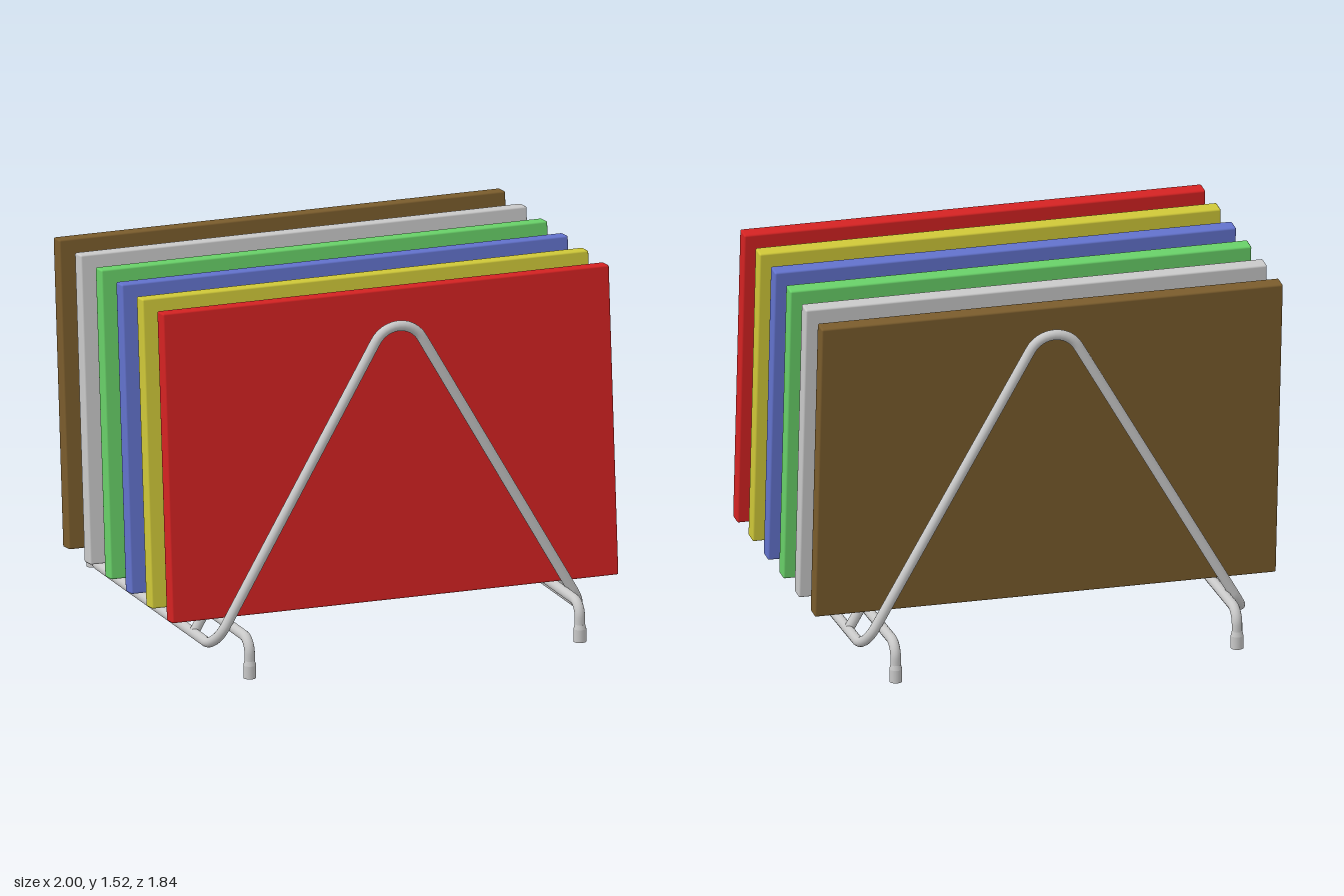
import * as THREE from 'three';
import { RoundedBoxGeometry } from 'three/addons/geometries/RoundedBoxGeometry.js';

const WIRE = 0.022;
const v = (x, y, z) => new THREE.Vector3(x, y, z);

function material(name, color) {
  const m = new THREE.MeshStandardMaterial({ color });
  m.name = name;
  return m;
}

// Path through corner points [point, bend radius]; each corner becomes a round bend
function bentPath(corners) {
  const path = new THREE.CurvePath();
  let from = corners[0][0];
  for (let i = 1; i < corners.length - 1; i++) {
    const [p, r] = corners[i];
    const a = corners[i - 1][0].clone().sub(p).normalize();
    const b = corners[i + 1][0].clone().sub(p).normalize();
    const turn = Math.PI - a.angleTo(b);
    const reach = r * Math.tan(turn / 2);
    const handle = reach - (4 / 3) * Math.tan(turn / 4) * r;
    const at = (dir, d) => p.clone().addScaledVector(dir, d);
    path.add(new THREE.LineCurve3(from, at(a, reach)));
    path.add(new THREE.CubicBezierCurve3(at(a, reach), at(a, handle), at(b, handle), at(b, reach)));
    from = at(b, reach);
  }
  path.add(new THREE.LineCurve3(from, corners[corners.length - 1][0]));
  return path;
}

export function createModel() {
  const model = new THREE.Group();
  model.name = 'boardRack';
  const steel = material('steel', 0xc8c8c8);

  function add(name, geometry, mat, parent = model) {
    const mesh = new THREE.Mesh(geometry, mat);
    mesh.name = name;
    parent.add(mesh);
    return mesh;
  }
  const wire = (name, corners, segments, closed = false) =>
    add(name, new THREE.TubeGeometry(bentPath(corners), segments, WIRE, 14, closed), steel);

  // Main frame: two end arches joined by the low side rails in one closed loop
  const footX = 0.826, railY = 0.09, peakY = 1.52, endZ = 0.71;
  const peakBend = 0.12, lowBend = 0.1;
  wire('mainFrame', [
    [v(footX, railY, 0), 0],
    [v(footX, railY, endZ), lowBend],
    [v(0, peakY, endZ), peakBend],
    [v(-footX, railY, endZ), lowBend],
    [v(-footX, railY, -endZ), lowBend],
    [v(0, peakY, -endZ), peakBend],
    [v(footX, railY, -endZ), lowBend],
    [v(footX, railY, 0), 0],
  ], 420, true);

  // Divider arches between the boards
  for (let i = -2; i <= 2; i++) {
    const z = i * 0.237;
    wire('dividerArch', [
      [v(-footX, railY, z), 0],
      [v(0, peakY, z), peakBend],
      [v(footX, railY, z), 0],
    ], 120);
  }

  // Foot rails with a wider cap at each end
  const capProfile = [[0, 0], [0.027, 0], [0.027, 0.055], [0.022, 0.075], [0, 0.075]]
    .map(([x, y]) => new THREE.Vector2(x, y));
  // Separate sections keep the cap edges crisp
  const capSections = capProfile.slice(1).map((p, i) => new THREE.LatheGeometry([capProfile[i], p], 18));
  const legX = 0.74, legZ = 0.894, legY = 0.167;
  for (const x of [-legX, legX]) {
    wire('footRail', [
      [v(x, 0.03, legZ), 0],
      [v(x, legY, legZ), 0.065],
      [v(x, legY, -legZ), 0.065],
      [v(x, 0.03, -legZ), 0],
    ], 160);
    for (const z of [-legZ, legZ]) {
      const cap = new THREE.Group();
      cap.name = 'footCap';
      cap.position.set(x, 0, z);
      capSections.forEach((g) => add('footCapSection', g, steel, cap));
      model.add(cap);
    }
  }

  // Six boards leaning slightly backwards
  const boardGeometry = new RoundedBoxGeometry(2, 1.32, 0.07, 2, 0.008);
  const boards = [
    ['red', 0xd42222, 0.587],
    ['yellow', 0xcfc838, 0.353],
    ['blue', 0x6272cc, 0.119],
    ['green', 0x68d068, -0.115],
    ['grey', 0xc9c9c9, -0.351],
    ['brown', 0x7a5c2c, -0.595],
  ];
  for (const [name, color, z] of boards) {
    const board = add(name + 'Board', boardGeometry, material(name, color));
    board.position.set(0, 0.858, z);
    board.rotation.x = -0.083;
  }

  return model;
}
